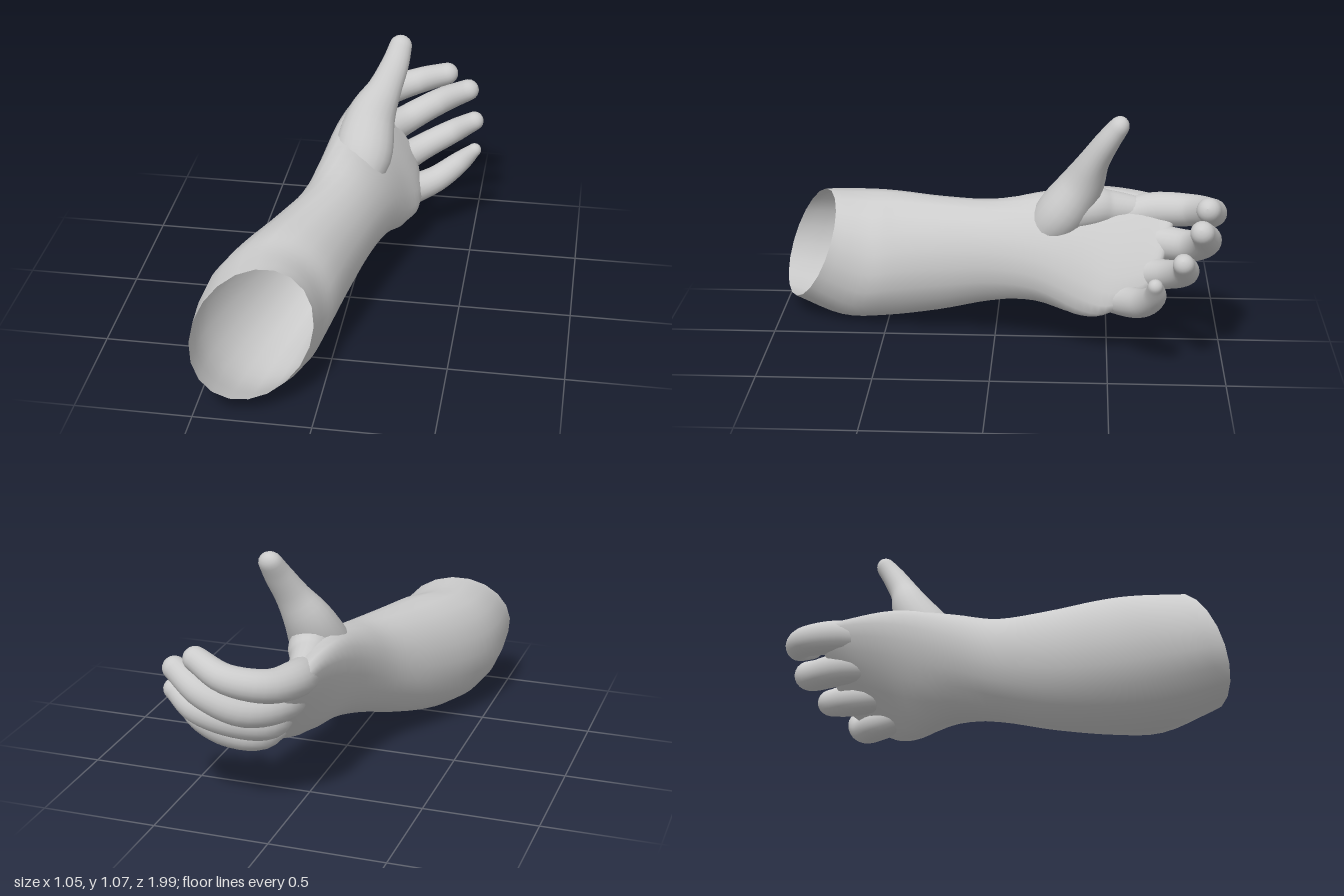
import * as THREE from 'three';

const SIDES = 20;
const material = new THREE.MeshStandardMaterial({ color: 0xcccccc, side: THREE.DoubleSide });

// Skin a list of closed rings (arrays of Vector3) with smooth normals
function loft(name, rings) {
  const positions = [], index = [];
  rings.forEach((ring) => ring.forEach((p) => positions.push(p.x, p.y, p.z)));
  for (let i = 0; i < rings.length - 1; i++) {
    for (let j = 0; j < SIDES; j++) {
      const a = i * SIDES + j, b = i * SIDES + (j + 1) % SIDES;
      index.push(a, a + SIDES, b, b, a + SIDES, b + SIDES);
    }
  }
  const geometry = new THREE.BufferGeometry();
  geometry.setAttribute('position', new THREE.Float32BufferAttribute(positions, 3));
  geometry.setIndex(index);
  geometry.computeVertexNormals();
  const mesh = new THREE.Mesh(geometry, material);
  mesh.name = name;
  return mesh;
}

const spline = (rows, from) => new THREE.CatmullRomCurve3(
  rows.map((r) => new THREE.Vector3(r[from], r[from + 1] ?? 0, r[from + 2] ?? 0)), false, 'catmullrom');

// Rounded finger through points [x, y, z, radius]; flat squashes its thickness
function finger(name, points, ref = new THREE.Vector3(0, 1, 0), flat = 1) {
  const path = spline(points, 0), radii = spline(points, 3), rings = [], steps = 20;
  const addRing = (center, tangent, r) => {
    const n = ref.clone().cross(tangent).normalize();
    const b = tangent.clone().cross(n);
    rings.push(Array.from({ length: SIDES }, (_, j) => {
      const t = j / SIDES * Math.PI * 2;
      return center.clone().addScaledVector(n, r * flat * Math.cos(t)).addScaledVector(b, -r * Math.sin(t));
    }));
  };
  for (let i = 0; i <= steps; i++) addRing(path.getPoint(i / steps), path.getTangent(i / steps), radii.getPoint(i / steps).x);
  // Domed fingertip
  const end = path.getPoint(1), dir = path.getTangent(1), r = points[points.length - 1][3];
  for (let k = 1; k <= 5; k++) {
    const a = k / 5 * Math.PI / 2;
    addRing(end.clone().addScaledVector(dir, r * Math.sin(a)), dir, Math.max(r * Math.cos(a), 0.0005));
  }
  return loft(name, rings);
}

// Forearm, wrist and palm: slanted elliptical sections along -z
function forearmAndPalm() {
  // z, centre x, centre y, half width, half height, lean, z slope along x, z slope along y
  const sections = [
    [0.86, -0.27, 0.33, 0.24, 0.25, 0, 0.4, 0.4],
    [0.66, -0.265, 0.29, 0.257, 0.29, -0.06, 0.27, 0.27],
    [0.48, -0.222, 0.302, 0.25, 0.29, 0, 0.14, 0.14],
    [0.25, -0.145, 0.335, 0.215, 0.262, 0, 0.05, 0.05],
    [0.02, -0.06, 0.385, 0.182, 0.226, -0.1, 0, 0],
    [-0.18, -0.005, 0.425, 0.178, 0.226, -0.34, 0, 0],
    [-0.38, 0.04, 0.43, 0.183, 0.257, -0.64, 0, 0.1],
    [-0.54, 0.075, 0.435, 0.186, 0.24, -0.87, 0, 0.25],
    [-0.67, 0.08, 0.455, 0.165, 0.19, -0.98, 0, 0.35],
    [-0.74, 0.09, 0.465, 0.115, 0.135, -1.02, 0, 0.35],
    [-0.76, 0.09, 0.465, 0.002, 0.002, -1.02, 0, 0.35],
  ];
  const centers = spline(sections, 0), sizes = spline(sections, 3), slopes = spline(sections, 6), rings = [];
  for (let i = 0; i <= 40; i++) {
    const c = centers.getPoint(i / 40), s = sizes.getPoint(i / 40), k = slopes.getPoint(i / 40);
    rings.push(Array.from({ length: SIDES }, (_, j) => {
      const t = j / SIDES * Math.PI * 2;
      const dx = s.x * Math.cos(t), dy = s.y * Math.sin(t + s.z);
      return new THREE.Vector3(c.y + dx, c.z + dy, c.x - k.x * dx - k.y * dy);
    }));
  }
  return loft('forearmAndPalm', rings);
}

export function createModel() {
  const hand = new THREE.Group();
  hand.name = 'forearmWithHand';
  hand.add(forearmAndPalm());

  // Four curled fingers, and the fold of skin between thumb and index finger
  const fingers = {
    indexFinger: [[0.02, 0.56, -0.46, 0.06], [-0.022, 0.597, -0.68, 0.077], [0.04, 0.62, -0.86, 0.07], [0.19, 0.66, -0.935, 0.062], [0.33, 0.72, -0.91, 0.052]],
    middleFinger: [[0.06, 0.46, -0.46, 0.06], [0.045, 0.475, -0.68, 0.075], [0.15, 0.495, -0.85, 0.068], [0.3, 0.572, -0.91, 0.062], [0.435, 0.655, -0.88, 0.051]],
    ringFinger: [[0.12, 0.36, -0.44, 0.055], [0.125, 0.358, -0.63, 0.072], [0.23, 0.392, -0.755, 0.063], [0.37, 0.457, -0.82, 0.057], [0.475, 0.53, -0.805, 0.045]],
    littleFinger: [[0.15, 0.29, -0.4, 0.06], [0.195, 0.262, -0.55, 0.07], [0.315, 0.29, -0.64, 0.062], [0.42, 0.362, -0.69, 0.051], [0.49, 0.435, -0.69, 0.032]],
    thumbWeb: [[0.04, 0.57, -0.24, 0.08], [0.025, 0.617, -0.4, 0.095], [0.0, 0.61, -0.5, 0.08], [-0.015, 0.6, -0.6, 0.065]],
  };
  for (const [name, points] of Object.entries(fingers)) hand.add(finger(name, points));

  // Upright thumb with a broad root sinking into the wrist
  hand.add(finger('thumb', [
    [0.0, 0.43, -0.15, 0.06], [0.015, 0.57, -0.275, 0.13], [0.037, 0.72, -0.375, 0.114], [0.093, 0.85, -0.43, 0.078],
    [0.132, 0.95, -0.484, 0.063], [0.15, 1.02, -0.53, 0.052],
  ], new THREE.Vector3(1, 0, 0), 0.85));

  return hand;
}
